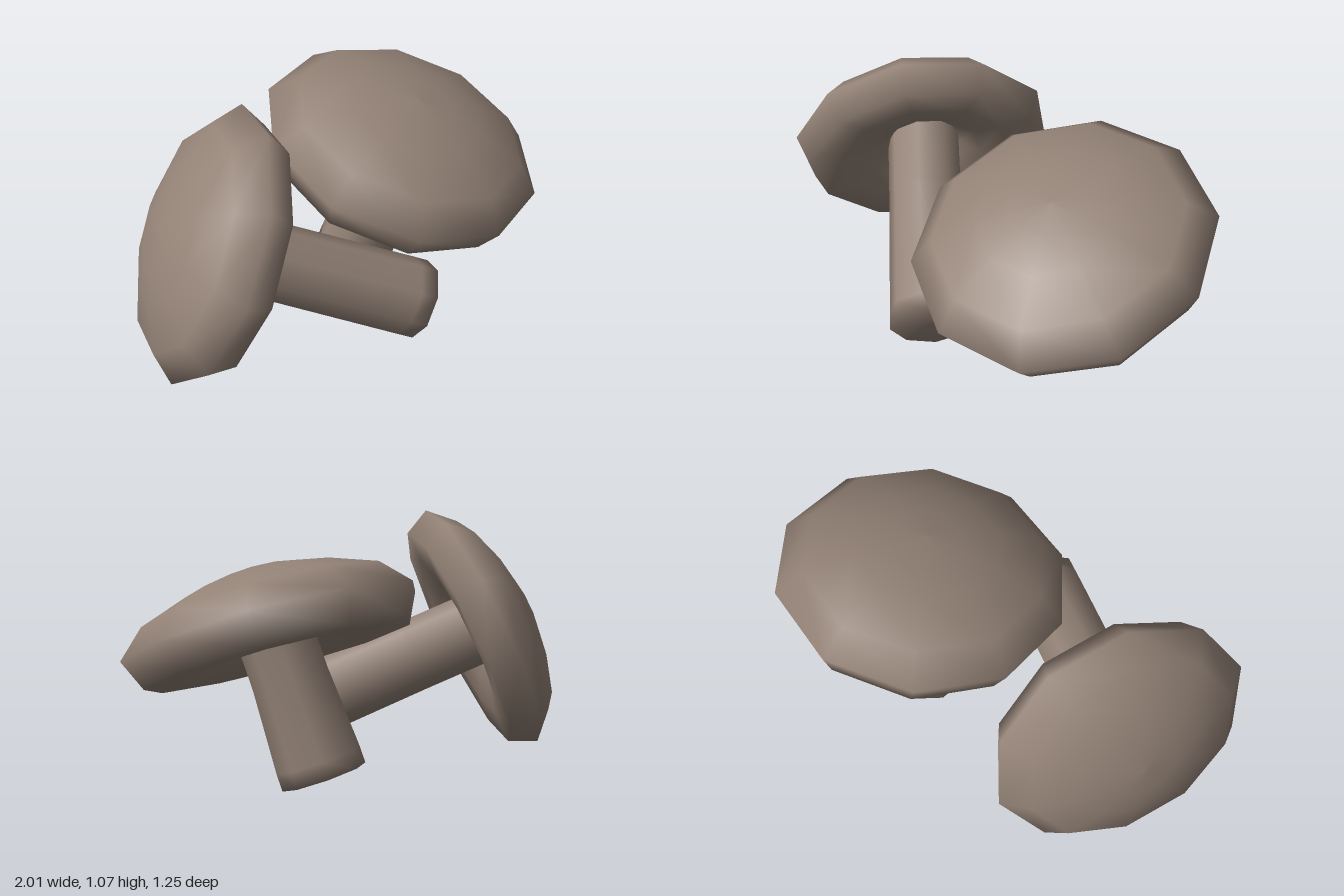
import * as THREE from 'three';

const skin = new THREE.MeshStandardMaterial({ color: 0x938276 });
skin.name = 'mushroom brown';

const vec = (a) => new THREE.Vector3(...a);

// lathe part whose y runs along axis and whose first corner points to corner
function turned(name, profile, sides, origin, axis, corner) {
  const geometry = new THREE.LatheGeometry(profile.map(([r, h]) => new THREE.Vector2(r, h)), sides);
  const mesh = new THREE.Mesh(geometry, skin);
  const y = axis.clone().normalize();
  const x = new THREE.Vector3().crossVectors(y, corner).normalize();
  const z = new THREE.Vector3().crossVectors(x, y);
  mesh.quaternion.setFromRotationMatrix(new THREE.Matrix4().makeBasis(x, y, z));
  mesh.position.copy(origin);
  mesh.name = name;
  return mesh;
}

// rim radius is 1, rim height is 0: hollow, gill lip, rim, dome
const capProfile = [
  [0.2, 0.03], [0.3, -0.06], [0.44, -0.15], [0.66, -0.205], [0.9, -0.208],
  [1, 0], [0.82, 0.183], [0.5, 0.305], [0.25, 0.365], [0, 0.38],
];

function mushroom(name, { base, rim, axis, corner, radius, stemBottom, stemTop }) {
  const group = new THREE.Group();
  group.name = name;
  const foot = vec(base), centre = vec(rim), toCorner = vec(corner);
  const along = centre.clone().sub(foot);
  const length = along.length();
  const cap = capProfile.map(([r, h]) => [r * radius, h * radius]);
  group.add(turned('cap', cap, 10, centre, vec(axis), toCorner));
  const stem = [[0, 0], [stemBottom, 0], [stemBottom, 0.07], [stemTop, length * 0.65], [stemTop, length + 0.06]];
  group.add(turned('stem', stem, 8, foot, along, toCorner));
  return group;
}

export function createModel() {
  const model = new THREE.Group();
  model.name = 'mushrooms';
  model.add(
    // upright one, leaning forward
    mushroom('standingMushroom', {
      base: [0.31, 0.06, -0.15], rim: [0.401, 0.651, 0.047], axis: [0.025, 0.94, 0.344],
      corner: [0.6, -0.002, -0.07], radius: 0.608, stemBottom: 0.173, stemTop: 0.154,
    }),
    // one lying on its side, cap to the back
    mushroom('lyingMushroom', {
      base: [0.012, 0.205, 0.405], rim: [-0.612, 0.578, -0.182], axis: [-0.72, 0.42, -0.547],
      corner: [0.12, 0.4975, 0.225], radius: 0.556, stemBottom: 0.162, stemTop: 0.156,
    }),
  );
  return model;
}
